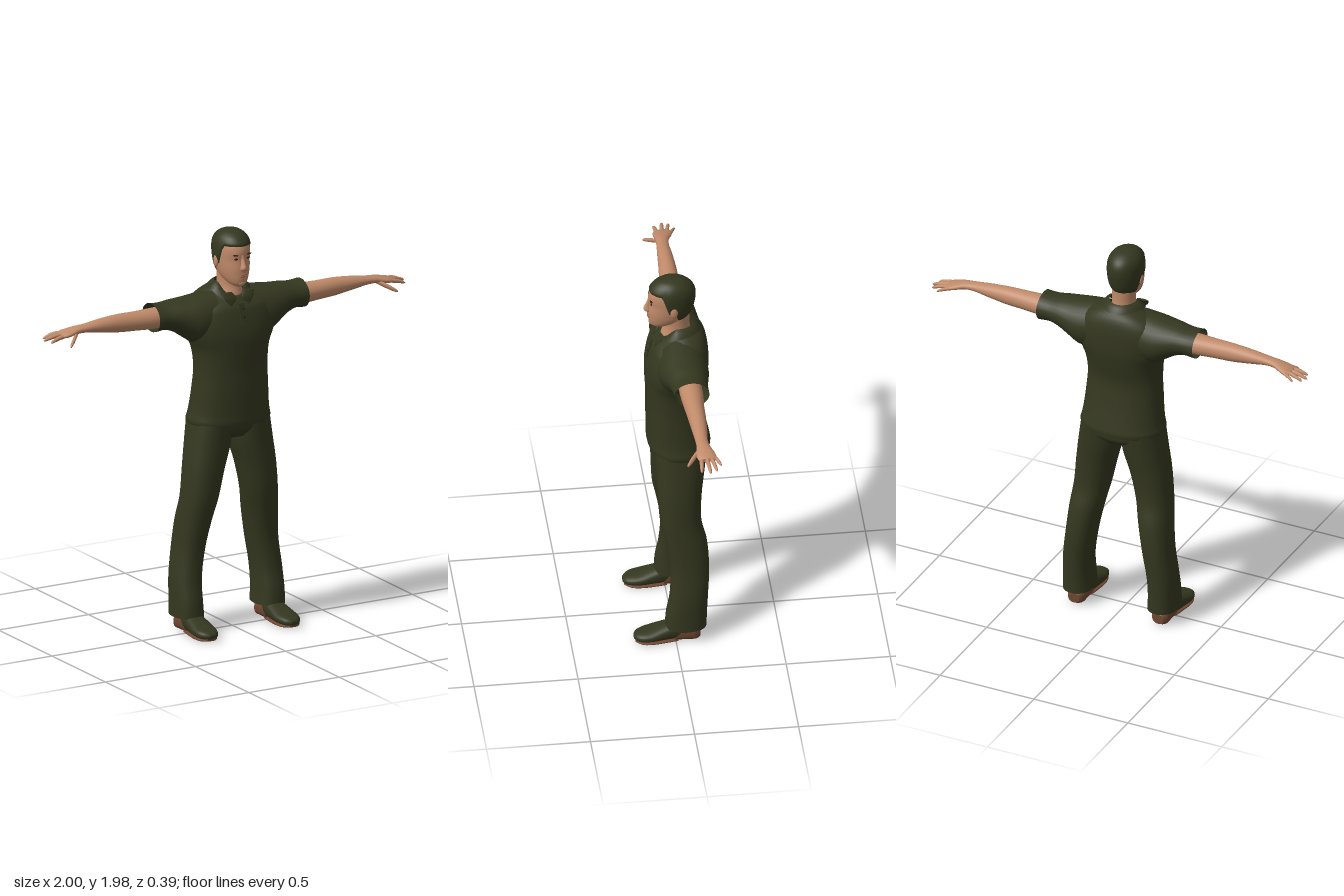
import * as THREE from 'three';

const material = (name, color, side = THREE.FrontSide) => {
  const m = new THREE.MeshStandardMaterial({ color, side });
  m.name = name;
  return m;
};
const cloth = material('dark olive', 0x34371f, THREE.DoubleSide);
const skin = material('skin', 0xc08a69);
const sole = material('sole brown', 0x6f4631);
const lip = material('lip', 0x9c6350);
const dark = material('dark brown', 0x2a2018);

// Closed rings joined into a smooth skin; point(u, v) gives a position, u runs round
function rings(nu, nv, point, flip = false, capStart = false, capEnd = false) {
  const pos = [], idx = [];
  const tri = (a, b, c) => (flip ? idx.push(a, c, b) : idx.push(a, b, c));
  for (let j = 0; j <= nv; j++)
    for (let i = 0; i < nu; i++) pos.push(...point(i / nu, j / nv));
  for (let j = 0; j < nv; j++)
    for (let i = 0; i < nu; i++) {
      const a = j * nu + i, b = j * nu + (i + 1) % nu;
      tri(a, b, b + nu);
      tri(a, b + nu, a + nu);
    }
  const cap = (v, end) => {
    const base = pos.length / 3, mid = [0, 0, 0];
    for (let i = 0; i < nu; i++) {
      const p = point(i / nu, v);
      pos.push(...p);
      p.forEach((c, k) => (mid[k] += c / nu));
    }
    pos.push(...mid);
    for (let i = 0; i < nu; i++) {
      const a = base + i, b = base + (i + 1) % nu;
      end ? tri(a, b, base + nu) : tri(b, a, base + nu);
    }
  };
  if (capStart) cap(0, false);
  if (capEnd) cap(1, true);
  const g = new THREE.BufferGeometry();
  g.setAttribute('position', new THREE.Float32BufferAttribute(pos, 3));
  g.setIndex(idx);
  g.computeVertexNormals();
  return g;
}

// Rows are [position on axis, u min, u max, v min, v max]
function profile(rows) {
  const f = new THREE.CubicInterpolant(rows.map(r => r[0]), rows.flatMap(r => r.slice(1)), 4);
  return t => Array.from(f.evaluate(t));
}
function oval([u0, u1, v0, v1], angle, power = 1) {
  const c = Math.cos(angle), s = Math.sin(angle);
  const bend = k => Math.sign(k) * Math.abs(k) ** power;
  return [(u0 + u1) / 2 + (u1 - u0) / 2 * bend(c), (v0 + v1) / 2 + (v1 - v0) / 2 * bend(s)];
}
function loft(axis, rows, { nu = 28, nv = 32, power = 1, caps = [true, true], warp = p => p } = {}) {
  const at = profile(rows), t0 = rows[0][0], t1 = rows[rows.length - 1][0];
  return rings(nu, nv, (a, b) => {
    const t = t0 + (t1 - t0) * b;
    const [u, v] = oval(at(t), a * Math.PI * 2, power);
    return warp(axis === 'y' ? [u, t, v] : axis === 'x' ? [t, u, v] : [u, v, t]);
  }, axis === 'y', ...caps);
}
function mirror(g) {
  const m = g.clone().scale(-1, 1, 1), ix = m.index.array;
  for (let i = 0; i < ix.length; i += 3) [ix[i + 1], ix[i + 2]] = [ix[i + 2], ix[i + 1]];
  return m;
}
const blob = (x, y, z, rx, ry, rz, turn = 0) =>
  new THREE.SphereGeometry(1, 16, 10).scale(rx, ry, rz).rotateZ(turn).translate(x, y, z);

export function createModel() {
  const model = new THREE.Group();
  model.name = 'standingMan';
  const add = (name, g, mat) => {
    const m = new THREE.Mesh(g, mat);
    m.name = name;
    model.add(m);
  };
  const pair = (name, g, mat) => {
    add('left' + name, g, mat);
    add('right' + name, mirror(g), mat);
  };
  const ss = THREE.MathUtils.smoothstep;

  // Shirt body, with the neckline dropping at the front
  add('shirtBody', loft('y', [
    [1.02, -.205, .205, -.188, .108], [1.035, -.212, .212, -.192, .112], [1.06, -.205, .205, -.187, .112],
    [1.2, -.19, .19, -.16, .115], [1.3, -.185, .185, -.15, .115], [1.4, -.195, .195, -.168, .12],
    [1.47, -.225, .225, -.18, .12], [1.54, -.24, .24, -.182, .107], [1.6, -.225, .225, -.178, .088],
    [1.65, -.17, .17, -.165, .068], [1.68, -.11, .11, -.145, .05], [1.695, -.075, .075, -.12, .035],
  ], {
    nu: 40, nv: 44, power: .88, caps: [false, false],
    warp: ([x, y, z]) => [x, y - Math.max(0, y - 1.6) * .5 * ss(z, -.06, .05), z],
  }), cloth);

  // Short sleeves
  pair('Sleeve', loft('x', [
    [.1, 1.43, 1.675, -.16, .07], [.2, 1.43, 1.662, -.165, .075], [.25, 1.462, 1.656, -.158, .062],
    [.3, 1.495, 1.652, -.15, .045], [.36, 1.515, 1.645, -.142, .03], [.395, 1.512, 1.647, -.142, .028],
    [.415, 1.51, 1.65, -.142, .027],
  ], { caps: [false, false] }), cloth);

  // Folded collar, low and pointed at the front
  add('collar', rings(40, 6, (a, v) => {
    const t = a * Math.PI * 2, front = ss(Math.sin(t), .1, 1), fold = Math.sin(v * Math.PI) * .006;
    const [x, z] = oval([-.066 - .04 * v, .066 + .04 * v, -.112 - .036 * v, .04 + .034 * v], t);
    return [x, 1.715 - .06 * front - (.035 - .01 * front) * v + fold, z];
  }, false), cloth);
  pair('CollarPoint', loft('y', [
    [1.615, .046, .05, .074, .078], [1.65, .014, .08, .058, .07], [1.675, .03, .09, .038, .055],
  ], { nu: 16, nv: 8 }), cloth);
  // Button strip and buttons
  add('buttonStrip', new THREE.BoxGeometry(.03, .1, .006).rotateX(-.28).translate(0, 1.575, .099), cloth);
  for (const [y, z] of [[1.6, .096], [1.56, .107]])
    add('button', new THREE.CylinderGeometry(.005, .005, .004, 12).rotateX(Math.PI / 2).translate(.005, y, z), dark);

  // Trousers
  add('trouserHips', loft('y', [
    [.95, -.1, .1, -.13, .05], [.985, -.19, .19, -.165, .078], [1.06, -.195, .195, -.165, .09],
  ], { power: .9 }), cloth);
  pair('TrouserLeg', loft('y', [
    [.075, .15, .299, -.15, .05], [.15, .155, .297, -.152, .045], [.25, .152, .294, -.157, .027],
    [.4, .13, .276, -.165, .022], [.55, .102, .262, -.155, .045], [.65, .08, .252, -.132, .065],
    [.8, .046, .239, -.136, .075], [.92, .012, .222, -.152, .08], [1.03, 0, .204, -.165, .086],
  ], { nv: 44, power: .88, caps: [true, true] }), cloth);

  // Shoes
  pair('ShoeUpper', loft('z', [
    [-.03, .18, .268, .02, .1], [0, .175, .272, .01, .1], [.06, .169, .28, .008, .082], [.12, .167, .286, .008, .062],
    [.165, .178, .278, .008, .052], [.19, .194, .26, .01, .043], [.2, .212, .244, .018, .034],
  ], { power: .8 }), cloth);
  pair('ShoeHeel', loft('z', [
    [-.118, .198, .25, .006, .055], [-.105, .184, .264, 0, .066], [-.06, .176, .27, 0, .08], [.005, .178, .268, 0, .08],
  ], { power: .7, nv: 14 }), sole);
  pair('ShoeSole', loft('z', [
    [-.01, .182, .265, 0, .014], [.06, .172, .277, 0, .014], [.12, .17, .283, 0, .014],
    [.165, .181, .275, 0, .014], [.193, .203, .253, .004, .016],
  ], { power: .6, nv: 16 }), sole);

  // Arms and palms
  pair('Arm', loft('x', [
    [.3, 1.525, 1.63, -.112, 0], [.42, 1.525, 1.626, -.112, -.004], [.5, 1.53, 1.624, -.106, -.01],
    [.6, 1.536, 1.624, -.103, -.018], [.7, 1.55, 1.616, -.097, -.024], [.79, 1.563, 1.604, -.09, -.03],
    [.83, 1.562, 1.6, -.096, -.03], [.87, 1.555, 1.59, -.113, -.024], [.9, 1.552, 1.582, -.118, -.026],
    [.915, 1.556, 1.575, -.112, -.034],
  ], { nv: 48 }), skin);

  // Fingers: [name, base, middle, tip, radius]
  const fingers = [
    ['LittleFinger', [.885, 1.567, -.106], [.92, 1.565, -.123], [.947, 1.552, -.135], .0085],
    ['RingFinger', [.89, 1.568, -.09], [.945, 1.566, -.102], [.985, 1.55, -.11], .0095],
    ['MiddleFinger', [.89, 1.568, -.069], [.95, 1.566, -.075], [.998, 1.548, -.079], .01],
    ['IndexFinger', [.885, 1.567, -.046], [.94, 1.563, -.043], [.982, 1.545, -.038], .01],
    ['Thumb', [.83, 1.572, -.05], [.87, 1.55, -.01], [.907, 1.528, .02], .012],
  ];
  for (const [name, base, mid, tip, r] of fingers) {
    const path = new THREE.QuadraticBezierCurve3(
      new THREE.Vector3(...base), new THREE.Vector3(...mid), new THREE.Vector3(...tip));
    const rows = [[0, 1], [.5, 1], [.82, .8], [.94, .6], [1, .2]].map(([t, k]) => {
      const p = path.getPoint(t), q = r * k;
      return [p.x, p.y - q, p.y + q, p.z - q, p.z + q];
    });
    pair(name, loft('x', rows, { nu: 12, nv: 14 }), skin);
  }

  // Neck and head
  add('neck', loft('y', [
    [1.62, -.075, .075, -.115, .05], [1.66, -.064, .064, -.105, .042], [1.7, -.057, .057, -.096, .03],
    [1.78, -.058, .058, -.095, .03],
  ]), skin);
  const headRows = [
    [1.708, -.022, .022, .035, .08], [1.72, -.04, .04, -.005, .095], [1.74, -.056, .056, -.055, .102],
    [1.77, -.069, .069, -.09, .104], [1.8, -.075, .075, -.102, .104], [1.84, -.079, .079, -.112, .1],
    [1.88, -.08, .08, -.117, .103], [1.91, -.077, .077, -.113, .096], [1.935, -.067, .067, -.098, .08],
    [1.953, -.05, .05, -.074, .056], [1.964, -.028, .028, -.045, .026], [1.968, -.008, .008, -.018, -.002],
  ];
  add('head', loft('y', headRows, { nu: 36, nv: 44 }), skin);
  const headAt = profile(headRows);
  const onFace = (x, y) => {
    const [, x1, z0, z1] = headAt(y);
    return (z0 + z1) / 2 + (z1 - z0) / 2 * Math.sqrt(1 - (x / x1) ** 2);
  };

  // Hair cap: high on the forehead, down past the temples to the nape
  add('hair', rings(48, 26, (a, v) => {
    const t = a * Math.PI * 2, s = Math.sin(t);
    const low = 1.765 + .05 * ss(s, -.45, -.15) + .095 * ss(s, .1, .5);
    const y = low + (1.968 - low) * (1 - (1 - v) ** 1.6);
    const grow = .003 + .005 * ss(v, 0, .12);
    const [x0, x1, z0, z1] = headAt(y);
    const [x, z] = oval([x0 - grow, x1 + grow, z0 - grow, z1 + grow], t);
    return [x, y + .007 * v, z];
  }, true, false, true), cloth);

  // Face
  add('nose', loft('y', [
    [1.79, -.01, .01, .09, .112], [1.798, -.017, .017, .088, .124], [1.806, -.016, .016, .088, .127],
    [1.825, -.011, .011, .088, .12], [1.85, -.009, .009, .086, .109], [1.87, -.012, .012, .085, .104],
  ], { nu: 16, nv: 16 }), skin);
  pair('Ear', blob(.083, 1.826, -.012, .009, .03, .018), skin);
  pair('Eye', blob(.031, 1.85, onFace(.031, 1.85), .013, .0045, .004), dark);
  pair('Eyebrow', blob(.033, 1.869, onFace(.033, 1.869), .019, .0038, .006, .12), dark);
  add('upperLip', blob(0, 1.772, .102, .023, .004, .007), lip);
  add('lowerLip', blob(0, 1.764, .102, .019, .005, .007), lip);
  add('chin', blob(0, 1.728, .084, .022, .016, .018), skin);
  return model;
}
